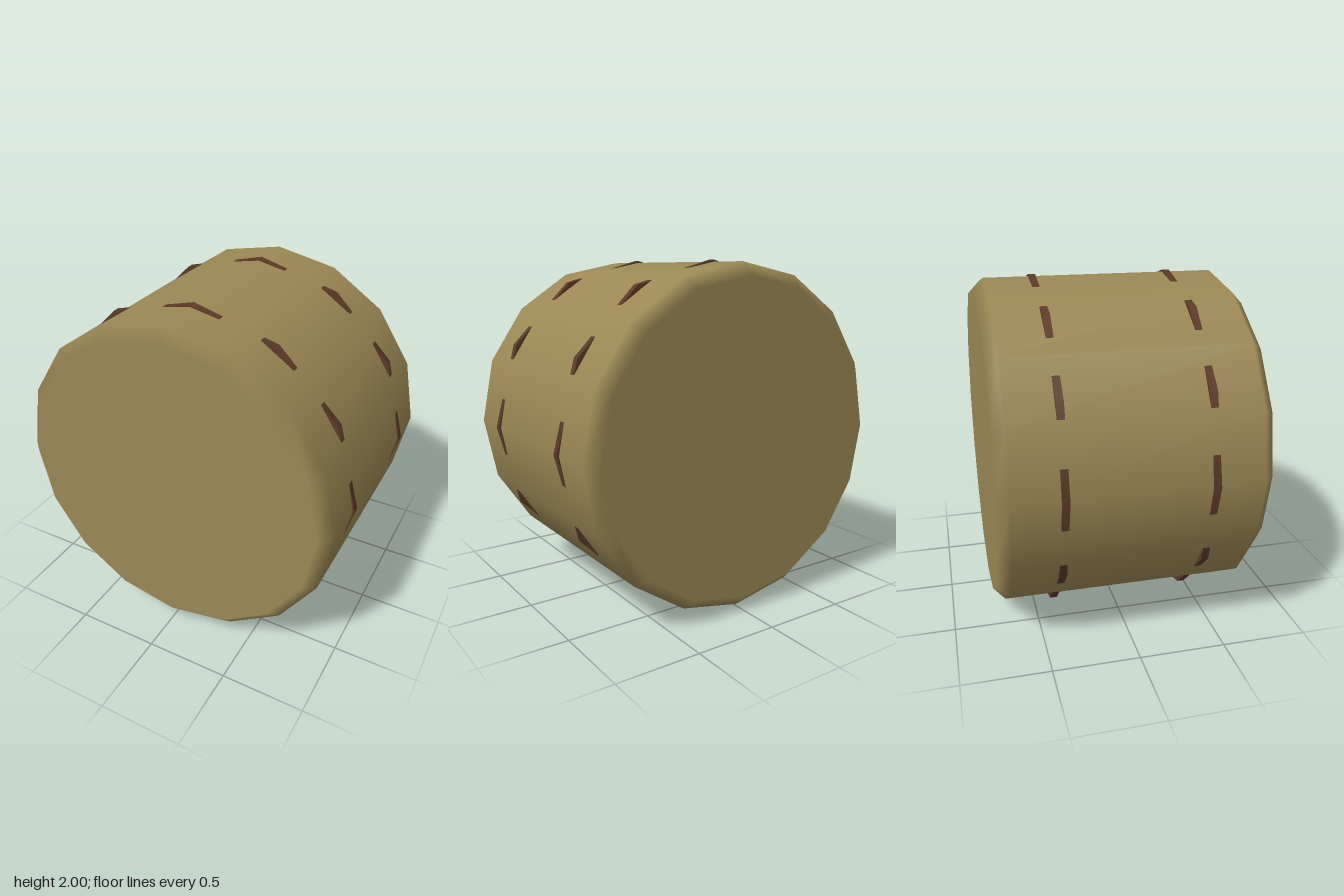
import * as THREE from 'three';

export function createModel() {
  const group = new THREE.Group();
  const khaki = new THREE.MeshStandardMaterial({ color: 0x9c8855 });
  khaki.name = 'khaki';
  const brown = new THREE.MeshStandardMaterial({ color: 0x5c3a28 });
  brown.name = 'dark brown';

  // Sixteen-sided drum with chamfered rims, lying along z
  const R = 0.988, RIM = 0.915, HALF = 0.755, SIDE = 0.685;
  const profile = [
    [0, -HALF], [RIM, -HALF], [R, -SIDE], [R, SIDE], [RIM, HALF], [0, HALF],
  ].map(([r, y]) => new THREE.Vector2(r, y));
  const drumGeometry = new THREE.LatheGeometry(profile, 16);

  // Flat end caps, with the chamfer blending softly into the smooth side
  const pos = drumGeometry.attributes.position;
  const normal = new THREE.Vector3();
  for (let i = 0; i < pos.count; i++) {
    const y = pos.getY(i);
    if (Math.abs(y) > SIDE + 0.01) normal.set(0, Math.sign(y), 0);
    else normal.set(pos.getX(i), 0, pos.getZ(i)).normalize();
    drumGeometry.attributes.normal.setXYZ(i, normal.x, normal.y, normal.z);
  }
  drumGeometry.rotateX(Math.PI / 2);
  const drum = new THREE.Mesh(drumGeometry, khaki);
  drum.name = 'drum';
  drum.position.y = 1;
  group.add(drum);

  // Twelve-sided bands whose corners show through the drum as dashes
  for (const side of [1, -1]) {
    const bandGeometry = new THREE.CylinderGeometry(1, 1, 0.042, 12);
    bandGeometry.rotateX(Math.PI / 2);
    const band = new THREE.Mesh(bandGeometry, brown);
    band.name = side > 0 ? 'frontBand' : 'backBand';
    band.position.set(0, 1, side * 0.406);
    group.add(band);
  }
  return group;
}
